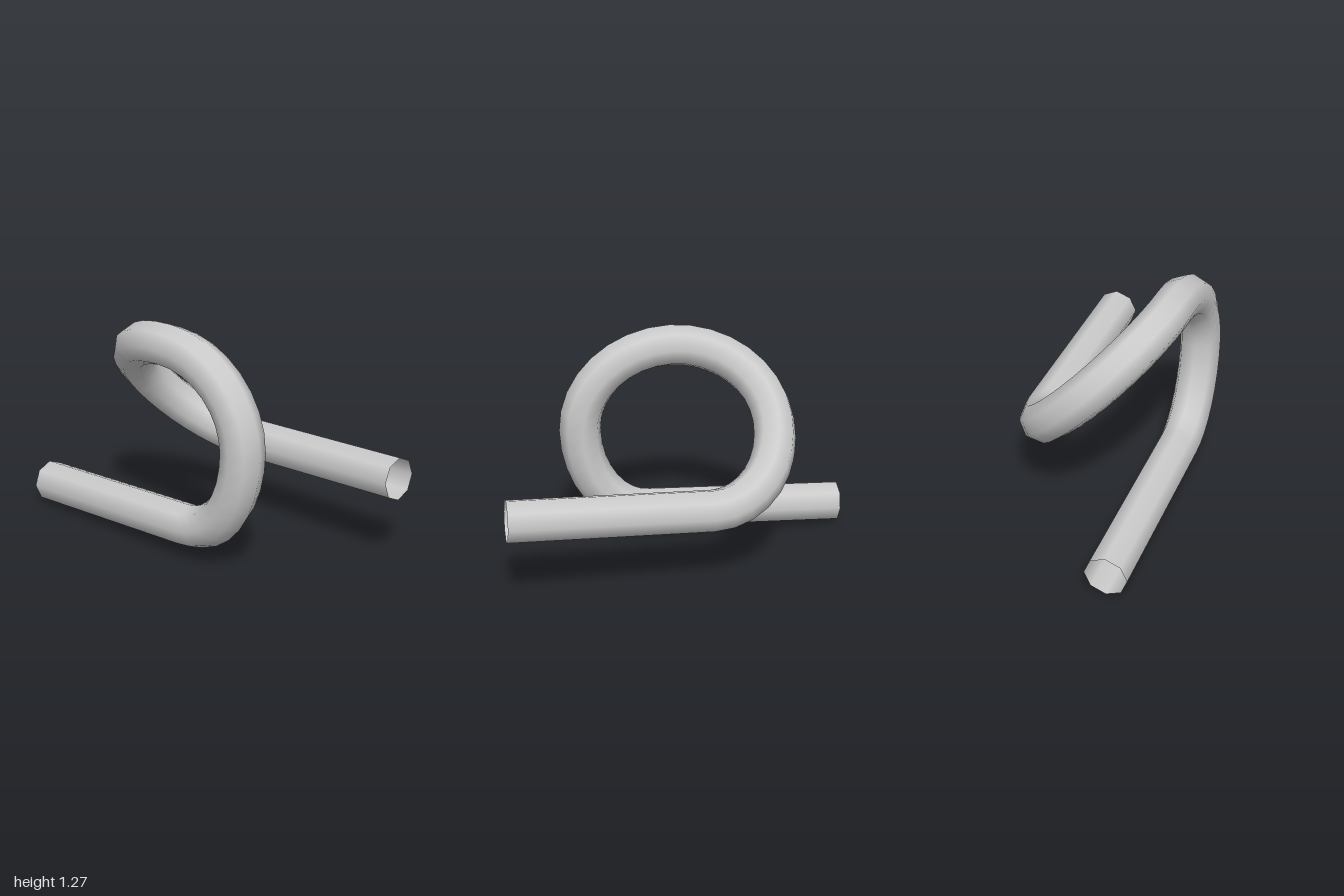
import * as THREE from 'three';

const V = (x, y, z) => new THREE.Vector3(x, y, z);

// quarter ellipse leaving along axis b and arriving at centre + b
const quarter = (c, a, b) => (t) => {
  const w = t * Math.PI / 2;
  return c.clone().addScaledVector(a, Math.cos(w)).addScaledVector(b, Math.sin(w));
};
const line = (a, b) => (t) => a.clone().lerp(b, t);

// Centre line: lower leg, upright bend, slanted bend, upper leg
const pieces = [
  line(V(-0.34, 0.117, -0.994), V(-0.34, 0.175, 0.12)),
  quarter(V(-0.34, 0.69, 0.12), V(0, -0.515, 0), V(0, 0, 0.39)),
  quarter(V(-0.34, 0.69, 0), V(0, 0, 0.51), V(0, 0.46, 0)),
  quarter(V(0, 0.795, 0), V(-0.34, 0.355, 0), V(0, 0, -0.515)),
  quarter(V(0, 0.795, -0.1), V(0, 0, -0.415), V(0.34, -0.355, 0)),
  line(V(0.34, 0.44, -0.1), V(0.34, 0.48, 0.996)),
];

class PipePath extends THREE.Curve {
  getPoint(t, target = new THREE.Vector3()) {
    const s = Math.min(Math.max(t, 0), 1) * pieces.length;
    const i = Math.min(Math.floor(s), pieces.length - 1);
    return target.copy(pieces[i](s - i));
  }
  // equal steps per piece, so rings land exactly on the joints
  getPointAt(u, target) { return this.getPoint(u, target); }
  getTangentAt(u, target) { return this.getTangent(u, target); }
}

export function createModel() {
  const group = new THREE.Group();
  group.name = 'bentPipe';

  // Open eight-sided pipe
  const pipe = new THREE.Mesh(
    new THREE.TubeGeometry(new PipePath(), pieces.length * 8, 0.117, 8, false),
    new THREE.MeshStandardMaterial({ color: 0xcccccc, side: THREE.DoubleSide })
  );
  pipe.name = 'pipe';
  group.add(pipe);
  return group;
}
